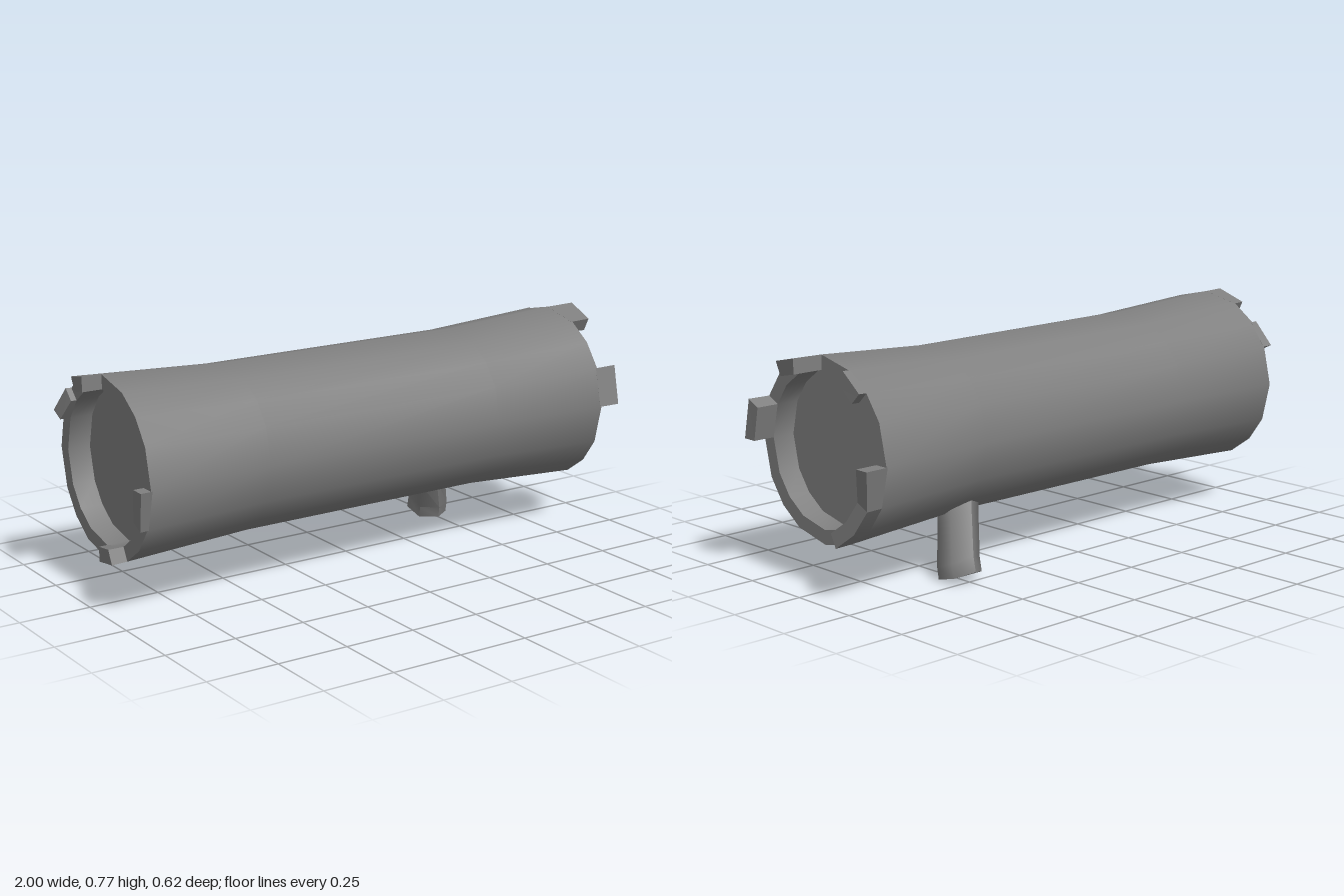
import * as THREE from 'three';
import { toCreasedNormals } from 'three/addons/utils/BufferGeometryUtils.js';

const AXIS_Y = 0.46, R_OUT = 0.309, R_IN = 0.26;
const RIGHT_END = 0.89, LEFT_END = -0.93, RECESS = 0.08;

// Slightly uneven sixteen-sided section: one quarter, repeated round the trunk (degrees from the top)
const ANGLES = [];
for (let q = 0; q < 4; q++) for (const a of [0, 26, 45, 64]) ANGLES.push(q * 90 + a);

function polar(x, r, deg) {
  const a = THREE.MathUtils.degToRad(deg);
  return new THREE.Vector3(x, AXIS_Y + r * Math.cos(a), r * Math.sin(a));
}

// Skin a list of closed cross-sections, optionally capping both ends
function loft(rows, capped = false, crease = 0.6) {
  const n = rows[0].length, pos = [], idx = [];
  rows.forEach(row => row.forEach(p => pos.push(p.x, p.y, p.z)));
  for (let i = 0; i < rows.length - 1; i++) {
    for (let j = 0; j < n; j++) {
      const a = i * n + j, b = i * n + (j + 1) % n;
      idx.push(a, b, a + n, b, b + n, a + n);
    }
  }
  if (capped) {
    const e = (rows.length - 1) * n;
    for (let j = 1; j < n - 1; j++) idx.push(0, j + 1, j, e, e + j, e + j + 1);
  }
  const g = new THREE.BufferGeometry();
  g.setAttribute('position', new THREE.Float32BufferAttribute(pos, 3));
  g.setIndex(idx);
  return toCreasedNormals(g, crease);
}

const ring = ([x, r]) => ANGLES.map(a => polar(x, r, a));

// Splinter standing on the rim between two angles, its tip running from x0 to x1
function splinter(end, from, to, x0, x1) {
  const inner = ANGLES.flatMap(a => [a, a - 360]).filter(a => a > from && a < to).sort((a, b) => a - b);
  const rows = [from, ...inner, to].map(a => {
    const tip = THREE.MathUtils.mapLinear(a, from, to, x0, x1);
    const base = end - Math.sign(end) * 0.005;
    const loop = [polar(tip, 0.311, a), polar(base, R_OUT, a), polar(base, R_IN, a), polar(tip, R_IN, a)];
    return end > 0 ? loop : loop.reverse();
  });
  return loft(rows, true);
}

export function createModel() {
  const model = new THREE.Group();
  model.name = 'log';
  const wood = new THREE.MeshStandardMaterial({ color: 0x808080 });
  const add = (name, geometry) => {
    const mesh = new THREE.Mesh(geometry, wood);
    mesh.name = name;
    model.add(mesh);
  };

  // Waisted trunk
  add('bark', loft([[LEFT_END, R_OUT], [-0.48, 0.286], [0.45, 0.284], [RIGHT_END, R_OUT]].map(ring)));

  // Rims and the sunken wood faces inside them
  const leftFace = LEFT_END + RECESS, rightFace = RIGHT_END - RECESS;
  add('leftRim', loft([[leftFace, R_IN], [LEFT_END, R_IN], [LEFT_END, R_OUT]].map(ring)));
  add('rightRim', loft([[RIGHT_END, R_OUT], [RIGHT_END, R_IN], [rightFace, R_IN]].map(ring)));
  add('woodFaces', loft([[leftFace, R_IN], [rightFace, R_IN]].map(ring), true));

  // Broken bark splinters: from angle, to angle, tip x at each
  [[0, 26, 1, 0.965], [64, 90, 0.97, 0.967], [-45, -26, 0.92, 0.915],
    [-154, -116, 0.957, 0.945], [-116, -90, 0.945, 0.97]]
    .forEach(s => add('rightSplinter', splinter(RIGHT_END, ...s)));
  [[-26, 0, -0.97, -1], [90, 116, -0.967, -0.955], [154, 180, -0.985, -0.96], [-64, -45, -0.967, -0.95]]
    .forEach(s => add('leftSplinter', splinter(LEFT_END, ...s)));

  // Bent six-sided branch stub below: centre, then the tilted half-depth in y and z, from tip to root
  const stub = [
    [0.5, 0.02, -0.206, 0.02, -0.075],
    [0.497, 0.065, -0.194, 0.026, -0.073],
    [0.445, 0.19, -0.135, 0.03, -0.067],
    [0.41, 0.27, -0.097, 0.03, -0.067],
  ].map(([x, y, z, vy, vz]) => Array.from({ length: 6 }, (_, i) => {
    const a = (i + 0.5) * Math.PI / 3, s = Math.sin(a);
    // The tilt grows towards the back, rounding the foot
    return new THREE.Vector3(x + 0.07 * Math.cos(a), y + vy * (s + 0.5 * (s * s - 1)), z + vz * s);
  }));
  add('branchStub', loft(stub, true, 1.07));

  return model;
}
